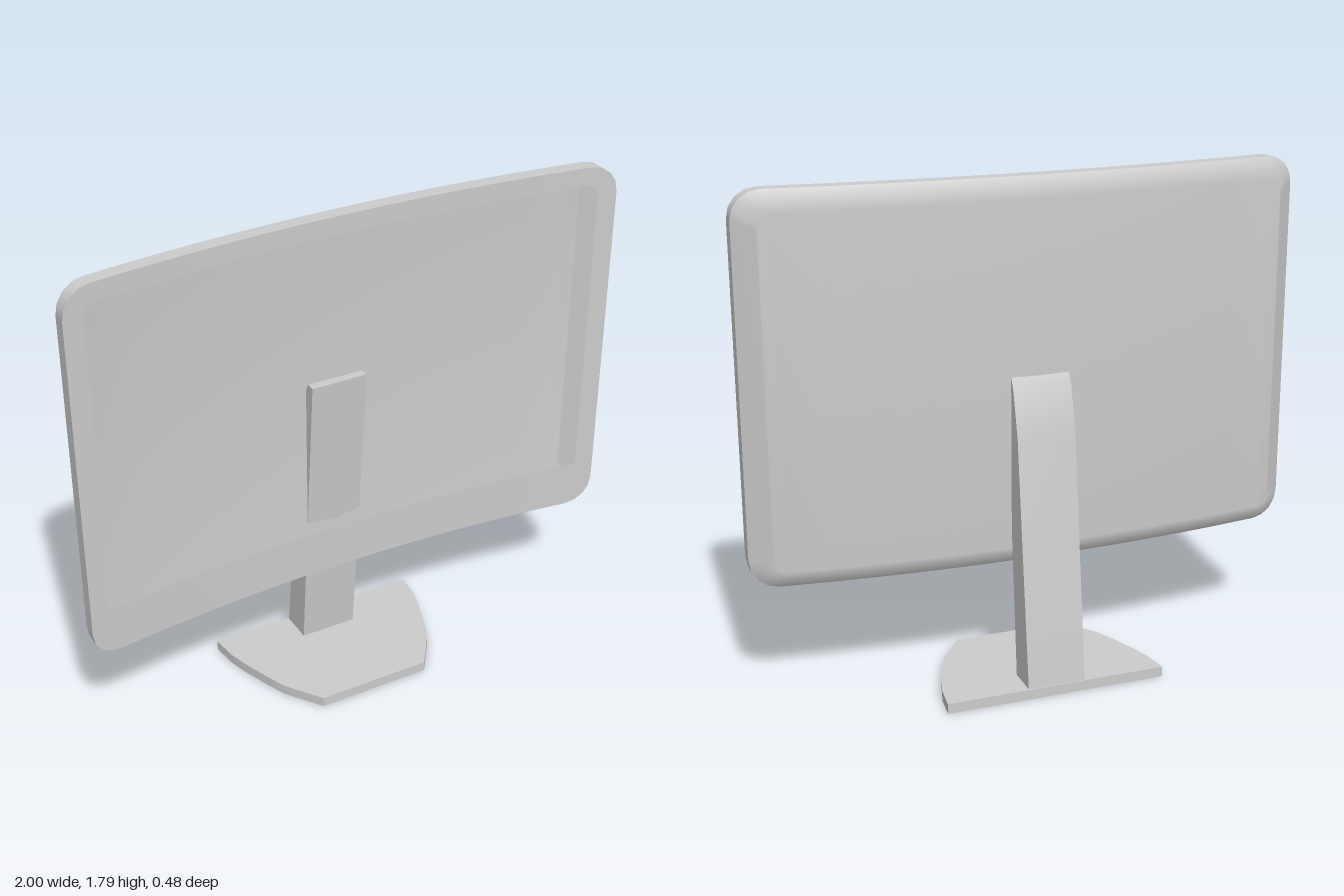
import * as THREE from 'three';
import { toCreasedNormals } from 'three/addons/utils/BufferGeometryUtils.js';

const grey = new THREE.MeshStandardMaterial({ color: 0xcccccc });
const thin = new THREE.MeshStandardMaterial({ color: 0xcccccc, side: THREE.DoubleSide });

const CORNER = 4, EDGE = 12; // segments per rounded corner and per long edge
const HALF = 2 * (CORNER + 1) + EDGE - 1; // points along the top (or bottom) of a loop

// Rounded rectangle bent backwards in the middle: top left to right, bottom right to left
function curvedLoop(halfWidth, yBottom, yTop, rTop, rBottom, z) {
  const row = (yEdge, r, dir) => {
    const pts = [];
    const add = (x, y) => pts.push(new THREE.Vector3(x, y, z + 0.08 * x * x));
    const corner = (side, k) => {
      const a = (k / CORNER) * Math.PI / 2;
      add(side * (halfWidth - r + r * Math.cos(a)), yEdge - dir * r * (1 - Math.sin(a)));
    };
    for (let k = 0; k <= CORNER; k++) corner(-1, k);
    for (let k = 1; k < EDGE; k++) add((halfWidth - r) * (2 * k / EDGE - 1), yEdge);
    for (let k = CORNER; k >= 0; k--) corner(1, k);
    return pts;
  };
  return [...row(yTop, rTop, 1), ...row(yBottom, rBottom, -1).reverse()];
}

// Skin a series of loops, running from front to back; optionally close the last one
function loft(loops, closeBack = false) {
  const n = loops[0].length, index = [];
  for (let l = 0; l < loops.length - 1; l++) {
    for (let i = 0; i < n; i++) {
      const a = l * n + i, b = l * n + (i + 1) % n;
      index.push(a, b, a + n, b, b + n, a + n);
    }
  }
  if (closeBack) {
    const o = (loops.length - 1) * n;
    for (let i = 0; i < HALF - 1; i++) {
      const t0 = o + i, t1 = t0 + 1, b0 = o + n - 1 - i, b1 = b0 - 1;
      index.push(t0, t1, b0, t1, b1, b0);
    }
  }
  const geo = new THREE.BufferGeometry().setFromPoints(loops.flat());
  geo.setIndex(index);
  geo.computeVertexNormals();
  return geo;
}

function extrude(points, depth) {
  const shape = new THREE.Shape(points.map(([x, y]) => new THREE.Vector2(x, y)));
  return new THREE.ExtrudeGeometry(shape, { depth, bevelEnabled: false });
}

export function createModel() {
  const model = new THREE.Group();
  const add = (parent, name, geometry, material) => {
    const mesh = new THREE.Mesh(geometry, material);
    mesh.name = name;
    parent.add(mesh);
  };

  // Open, curved display housing
  const display = new THREE.Group();
  display.name = 'display';
  model.add(display);
  const front = curvedLoop(1, 0.435, 1.79, 0.1, 0.1, 0.034);
  const middle = curvedLoop(1, 0.435, 1.79, 0.1, 0.1, -0.02);
  const back = curvedLoop(0.93, 0.505, 1.72, 0.05, 0.05, -0.071);
  const opening = curvedLoop(0.93, 0.605, 1.725, 0.04, 0, 0.034);
  add(display, 'bezel', loft([opening, front]), thin);
  add(display, 'rim', loft([front, middle]), thin);
  add(display, 'backShell', loft([middle, back], true), thin);

  // Leaning stand, its tip reaching through the back shell; profile is (-z, y)
  const stand = extrude([
    [0.115, 0.03], [0.235, 0.03], [0.13, 0.92], [0.09, 1.08], [0.055, 1.15], [0.022, 1.15],
  ], 0.21);
  stand.translate(0, 0, -0.105).rotateY(Math.PI / 2);
  add(model, 'stand', toCreasedNormals(stand, 0.5), grey);

  // Flat foot, narrowing to the front; outline is (x, -z)
  const side = [[0.21, -0.237], [0.3, -0.11], [0.33, -0.04], [0.37, 0.07], [0.39, 0.14], [0.403, 0.24]];
  const foot = extrude([...side, ...side.map(([x, y]) => [-x, y]).reverse()], 0.037);
  foot.rotateX(-Math.PI / 2);
  add(model, 'foot', toCreasedNormals(foot, 0.45), grey);

  return model;
}
